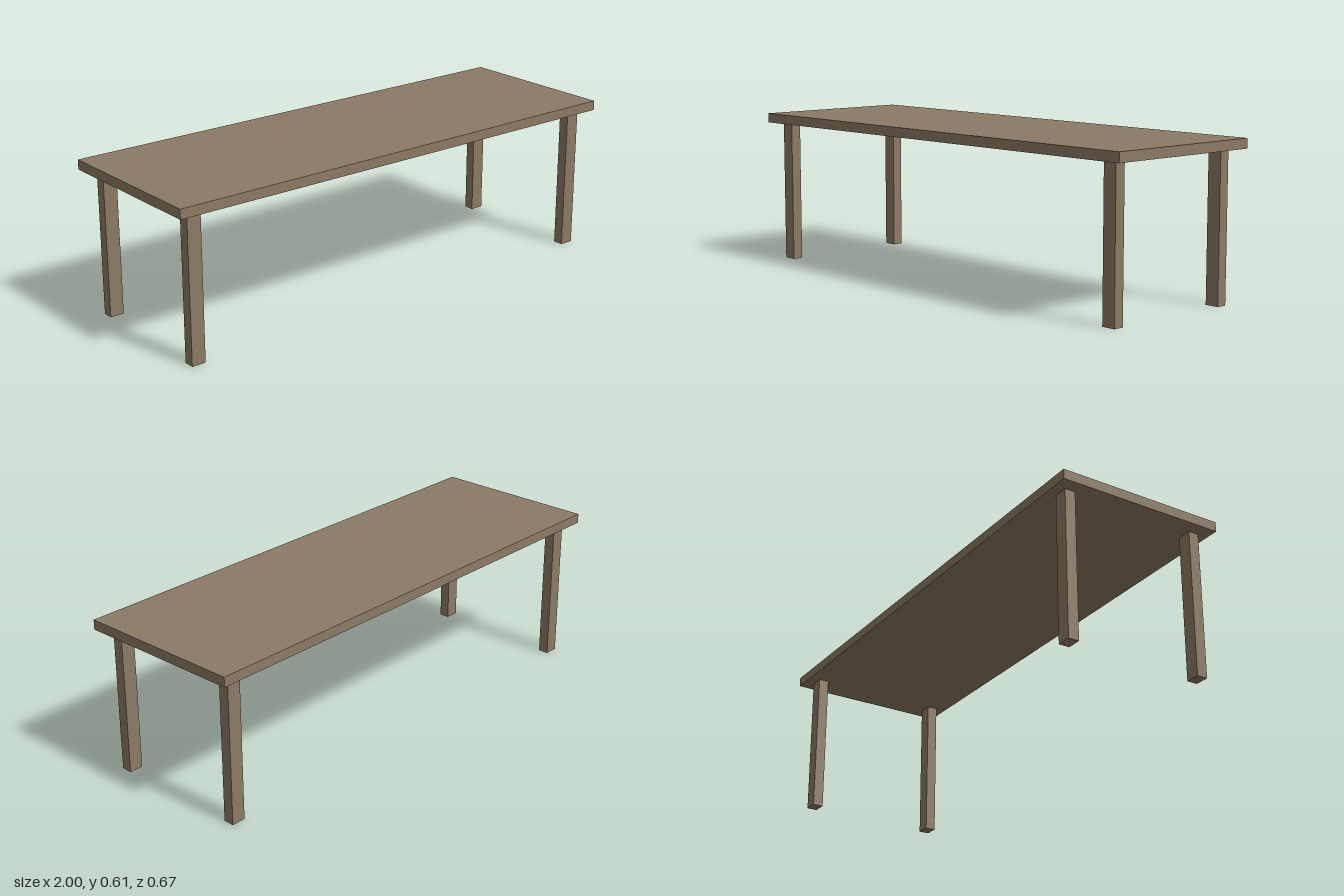
import * as THREE from 'three';

export function createModel() {
  const wood = new THREE.MeshStandardMaterial({ color: 0x8c7a65 });
  wood.name = 'wood';
  const table = new THREE.Group();
  table.name = 'table';

  const topY = 0.609, legHeight = 0.571;

  // Flat slab top
  const slab = topY - legHeight;
  const tabletop = new THREE.Mesh(new THREE.BoxGeometry(2, slab, 0.666), wood);
  tabletop.name = 'tabletop';
  tabletop.position.y = legHeight + slab / 2;
  table.add(tabletop);

  // Four straight legs, inset from the corners
  const legGeometry = new THREE.BoxGeometry(0.056, legHeight, 0.042);
  for (const [side, x] of [['Left', 1], ['Right', -1]]) {
    for (const [end, z] of [['front', 1], ['back', -1]]) {
      const leg = new THREE.Mesh(legGeometry, wood);
      leg.name = `${end}${side}Leg`;
      leg.position.set(x * 0.92, legHeight / 2, z * 0.271);
      table.add(leg);
    }
  }
  return table;
}
